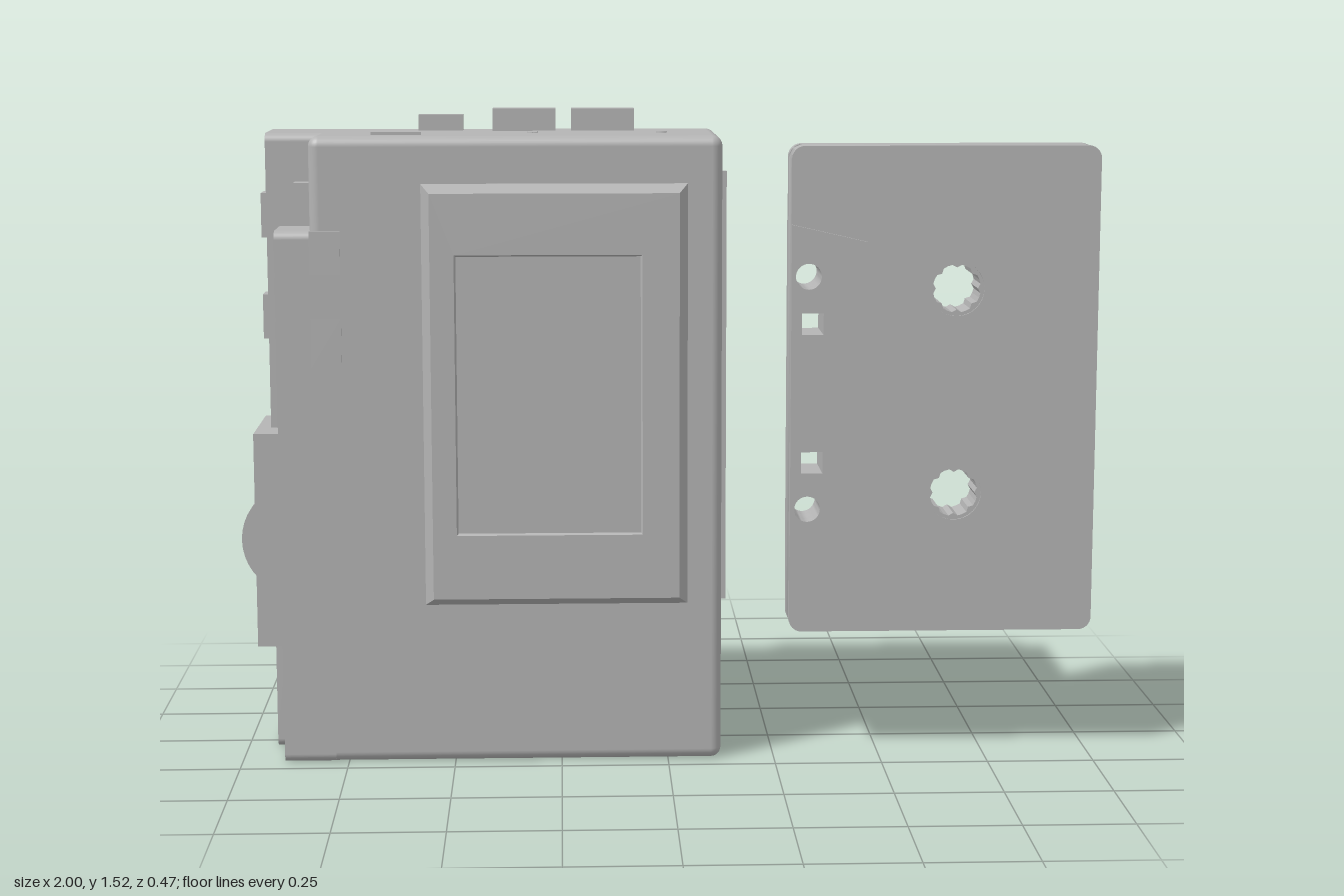
import * as THREE from 'three';
import { RoundedBoxGeometry } from 'three/addons/geometries/RoundedBoxGeometry.js';
import { toCreasedNormals } from 'three/addons/utils/BufferGeometryUtils.js';

const grey = new THREE.MeshStandardMaterial({ color: 0xb4b4b4 });
grey.name = 'grey plastic';

function add(parent, name, geometry, x = 0, y = 0, z = 0) {
  const mesh = new THREE.Mesh(geometry, grey);
  mesh.name = name;
  mesh.position.set(x, y, z);
  parent.add(mesh);
  return mesh;
}

// Box given by its limits
function box(parent, name, x0, x1, y0, y1, z0, z1) {
  return add(parent, name, new THREE.BoxGeometry(x1 - x0, y1 - y0, z1 - z0),
    (x0 + x1) / 2, (y0 + y1) / 2, (z0 + z1) / 2);
}

function polygon(points) {
  return new THREE.Shape(points.map(p => new THREE.Vector2(p[0], p[1])));
}

function rect(x0, x1, y0, y1) {
  return polygon([[x0, y0], [x1, y0], [x1, y1], [x0, y1]]);
}

function circle(x, y, r) {
  const s = new THREE.Shape();
  s.absarc(x, y, r, 0, Math.PI * 2, false);
  return s;
}

function roundRect(x0, x1, y0, y1, r) {
  const s = new THREE.Shape();
  s.absarc(x1 - r, y0 + r, r, -Math.PI / 2, 0, false);
  s.absarc(x1 - r, y1 - r, r, 0, Math.PI / 2, false);
  s.absarc(x0 + r, y1 - r, r, Math.PI / 2, Math.PI, false);
  s.absarc(x0 + r, y0 + r, r, Math.PI, Math.PI * 1.5, false);
  return s;
}

function extrude(shape, z0, z1, holes = []) {
  shape.holes.push(...holes);
  const g = new THREE.ExtrudeGeometry(shape, { depth: z1 - z0, bevelEnabled: false, curveSegments: 16 });
  g.translate(0, 0, z0);
  return g;
}

// Extrusion along x of a shape drawn with u = -z, v = y
function extrudeX(shape, x0, x1, holes) {
  return extrude(shape, x0, x1, holes).rotateY(Math.PI / 2);
}

// Raised panel with sloping sides, its back half sunk into the body
function slopedPanel(w, h, slope, height, holes) {
  const shape = rect(-w / 2, w / 2, -h / 2, h / 2);
  shape.holes.push(...holes);
  return new THREE.ExtrudeGeometry(shape, {
    depth: 0.001, bevelThickness: height, bevelSize: slope, bevelSegments: 1, curveSegments: 24,
  });
}

// Small screw head facing along an axis
function screw(parent, x, y, z, axis, r = 0.013) {
  const m = add(parent, 'screw', new THREE.CylinderGeometry(r, r, 0.006, 12), x, y, z);
  if (axis === 'x') m.rotation.z = Math.PI / 2;
  if (axis === 'z') m.rotation.x = Math.PI / 2;
}

function buildPlayer() {
  const g = new THREE.Group();
  g.name = 'player';

  // Case: main block plus the stepped right-hand end
  add(g, 'mainCase', new RoundedBoxGeometry(0.945, 1.465, 0.35, 4, 0.024), -0.3475, 0.7325, 0.025);
  add(g, 'caseEndBack', extrudeX(roundRect(-0.06, 0.15, 0, 1.465, 0.02), -0.93, -0.78));
  add(g, 'caseEndFront', extrudeX(roundRect(-0.2, 0.02, 0, 1.25, 0.02), -0.9, -0.78));
  box(g, 'notchButton', -0.86, -0.81, 1.28, 1.355, 0.08, 0.13);

  // Cassette door with a shallow window
  add(g, 'cassetteDoor', slopedPanel(0.57, 0.94, 0.02, 0.035, [rect(-0.23, 0.2, -0.32, 0.33)]), -0.26, 0.867, 0.2);
  box(g, 'doorWindow', -0.51, -0.04, 0.53, 1.22, 0.2, 0.229);
  box(g, 'doorHinge', 0.12, 0.138, 0.37, 1.38, 0.108, 0.13);

  // Back speaker panel
  const back = new THREE.Group();
  back.name = 'speakerPanel';
  back.position.set(-0.245, 0.92, -0.15);
  back.rotation.y = Math.PI;
  g.add(back);
  const up = 0.25, low = -0.235;
  add(back, 'panel', slopedPanel(0.63, 0.975, 0.022, 0.059, [circle(0, low, 0.185)]));
  const lathe = pts => new THREE.LatheGeometry(pts.map(p => new THREE.Vector2(p[0], p[1])), 48).rotateX(Math.PI / 2);
  const domePoints = [[0.21, 0], [0.205, 0.006]];
  for (let i = 0; i <= 8; i++) {
    const r = 0.2 * (1 - i / 8);
    domePoints.push([r, 0.006 + 0.015 * (1 - (r / 0.2) ** 2)]);
  }
  add(back, 'domeSpeaker', lathe(domePoints), 0, up, 0.059);
  add(back, 'coneSpeaker', lathe([[0.19, 0.003], [0.18, 0.003], [0.172, -0.006], [0.15, -0.014], [0.1, -0.03], [0.06, -0.044],
    [0.034, -0.052]]), 0, low, 0.059);
  add(back, 'coneCap', new THREE.SphereGeometry(0.036, 20, 12), 0, low, 0.02);
  for (const y of [up, low]) {
    for (let i = 0; i < 4; i++) {
      const a = i * Math.PI / 2;
      screw(back, 0.215 * Math.cos(a), y + 0.215 * Math.sin(a), 0.061, 'z', 0.012);
    }
  }

  // Top buttons
  box(g, 'topButton', -0.58, -0.475, 1.45, 1.502, -0.09, -0.06);
  for (const x of [-0.405, -0.22]) box(g, 'topButton', x, x + 0.148, 1.45, 1.517, -0.092, -0.032);
  box(g, 'topIndicator', -0.68, -0.565, 1.46, 1.472, 0.13, 0.14);

  // Front slide switch
  box(g, 'frontSwitchWindow', -0.82, -0.75, 1.15, 1.25, 0.19, 0.204);
  box(g, 'frontSwitch', -0.82, -0.75, 0.935, 1.05, 0.19, 0.204);

  // Side switches and slider
  box(g, 'sideSwitchPlate', -0.934, -0.92, 0.96, 1.33, -0.11, -0.01);
  for (const y of [0.975, 1.215]) box(g, 'sideSwitch', -0.952, -0.92, y, y + 0.105, -0.1, -0.03);
  box(g, 'sideSlider', -0.906, -0.89, 0.99, 1.24, 0.085, 0.145);

  // Dial housing with two thumb wheels
  const windows = [rect(-0.135, -0.035, 0.32, 0.72), rect(0.012, 0.112, 0.32, 0.72)];
  add(g, 'dialHousing', extrudeX(rect(-0.155, 0.125, 0.27, 0.775), -0.962, -0.89, windows));
  for (const z of [-0.08, 0.078]) {
    const wheel = add(g, 'thumbWheel', new THREE.CylinderGeometry(0.133, 0.133, 0.05, 40), -0.867, 0.515, z);
    wheel.rotation.x = Math.PI / 2;
  }

  // Case screws
  for (const x of [-0.64, -0.31, -0.01]) screw(g, x, 1.464, 0.045, 'y');
  for (const y of [1.33, 0.745, 0.155]) screw(g, 0.124, y, 0.005, 'x');
  for (const [x, y] of [[-0.63, 1.39], [-0.63, 0.87], [-0.56, 0.195]]) screw(g, x, y, -0.149, 'z');
  screw(g, -0.929, 0.1, -0.04, 'x');
  screw(g, -0.933, 1.15, -0.065, 'x');
  return g;
}

function buildCassette() {
  const g = new THREE.Group();
  g.name = 'cassette';
  const hubs = [1.11, 0.63];
  const holes = () => [
    ...hubs.map(y => circle(0.67, y, 0.064)),
    ...[1.14, 0.595].map(y => circle(0.325, y, 0.03)),
    ...[1.03, 0.705].map(y => rect(0.31, 0.36, y - 0.025, y + 0.025)),
  ];

  // Shell in three layers; the middle one leaves two end pockets
  const outline = () => roundRect(0.285, 1, 0.3, 1.44, 0.03);
  const notched = polygon([[0.285, 0.33], [0.294, 0.309], [0.315, 0.3], [0.97, 0.3], [0.991, 0.309], [1, 0.33],
    [1, 0.345], [0.93, 0.345], [0.93, 0.45], [1, 0.45], [1, 1.28], [0.93, 1.28], [0.93, 1.39], [1, 1.39],
    [1, 1.41], [0.991, 1.431], [0.97, 1.44], [0.315, 1.44], [0.294, 1.431], [0.285, 1.41]]);
  const layer = (name, shape, z0, z1, cut) => add(g, name, toCreasedNormals(extrude(shape, z0, z1, cut), 0.5));
  layer('backShell', outline(), 0.062, 0.095, holes());
  layer('middleShell', notched, 0.095, 0.155, holes());
  layer('frontShell', outline(), 0.155, 0.178, holes());

  // Thicker tape-head section on both faces
  const head = () => polygon([[0.285, 0.48], [0.46, 0.52], [0.46, 1.22], [0.285, 1.26]]);
  layer('headBack', head(), 0.052, 0.062, holes().slice(2));
  layer('headFront', head(), 0.178, 0.188, holes().slice(2));

  // Toothed hubs
  for (const y of hubs) {
    const teeth = [];
    for (let i = 0; i < 32; i++) {
      const a = i * Math.PI / 16, r = i % 4 === 0 ? 0.049 : 0.056;
      teeth.push([0.67 + r * Math.cos(a), y + r * Math.sin(a)]);
    }
    add(g, 'hub', extrude(circle(0.67, y, 0.066), 0.066, 0.174, [polygon(teeth)]));
  }
  return g;
}

export function createModel() {
  const model = new THREE.Group();
  model.name = 'cassettePlayerAndTape';
  model.add(buildPlayer(), buildCassette());
  return model;
}
